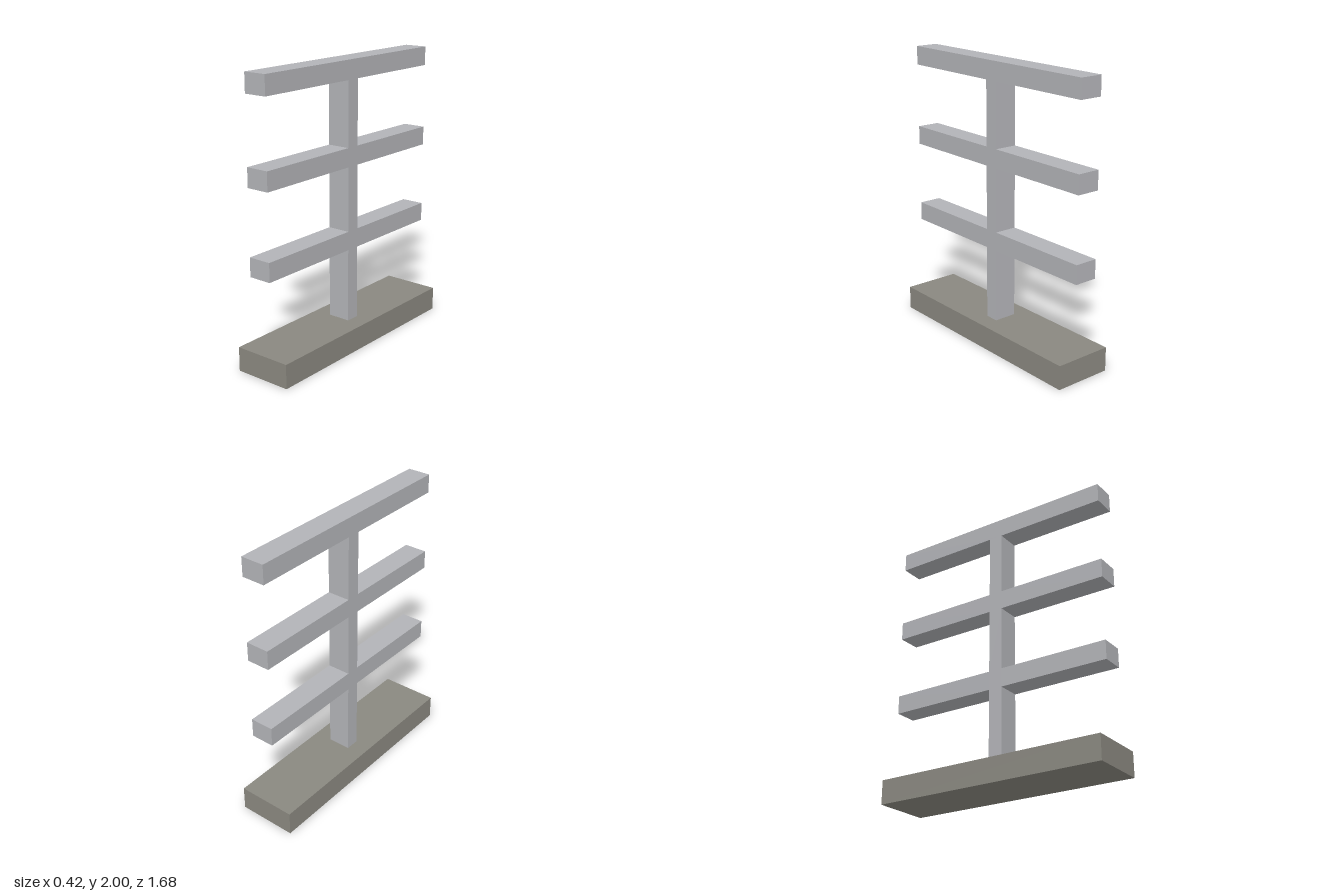
import * as THREE from 'three';

const BASE_HEIGHT = 0.17;
const HALF_LENGTH = 0.84;
const HALF_POST = 0.05;
const RACK_WIDTH = 0.166;
const ARM_HEIGHT = 0.133;
const ARM_BOTTOMS = [0.693, 1.28, 1.867];

export function createModel() {
  const group = new THREE.Group();
  group.name = 'cantileverRack';

  const steel = new THREE.MeshStandardMaterial({ color: 0xb2b3b7 });
  steel.name = 'grey steel';
  const concrete = new THREE.MeshStandardMaterial({ color: 0x8a8880 });
  concrete.name = 'warm grey base';

  // Base slab
  const base = new THREE.Mesh(
    new THREE.BoxGeometry(0.417, BASE_HEIGHT, HALF_LENGTH * 2), concrete);
  base.name = 'base';
  base.position.y = BASE_HEIGHT / 2;
  group.add(base);

  // Post and arms share one flush outline: one side going up, mirrored coming down
  const side = [[HALF_POST, BASE_HEIGHT]];
  for (const y of ARM_BOTTOMS) {
    const top = y + ARM_HEIGHT;
    side.push([HALF_POST, y], [HALF_LENGTH, y], [HALF_LENGTH, top]);
    if (top < 1.99) side.push([HALF_POST, top]);
  }
  const mirrored = side.map(([u, y]) => [-u, y]).reverse();
  const outline = new THREE.Shape(
    [...side, ...mirrored].map(([u, y]) => new THREE.Vector2(u, y)));

  const rackGeometry = new THREE.ExtrudeGeometry(outline, {
    depth: RACK_WIDTH, bevelEnabled: false,
  });
  rackGeometry.translate(0, 0, -RACK_WIDTH / 2);
  rackGeometry.rotateY(Math.PI / 2);
  const rack = new THREE.Mesh(rackGeometry, steel);
  rack.name = 'postAndArms';
  group.add(rack);

  return group;
}
